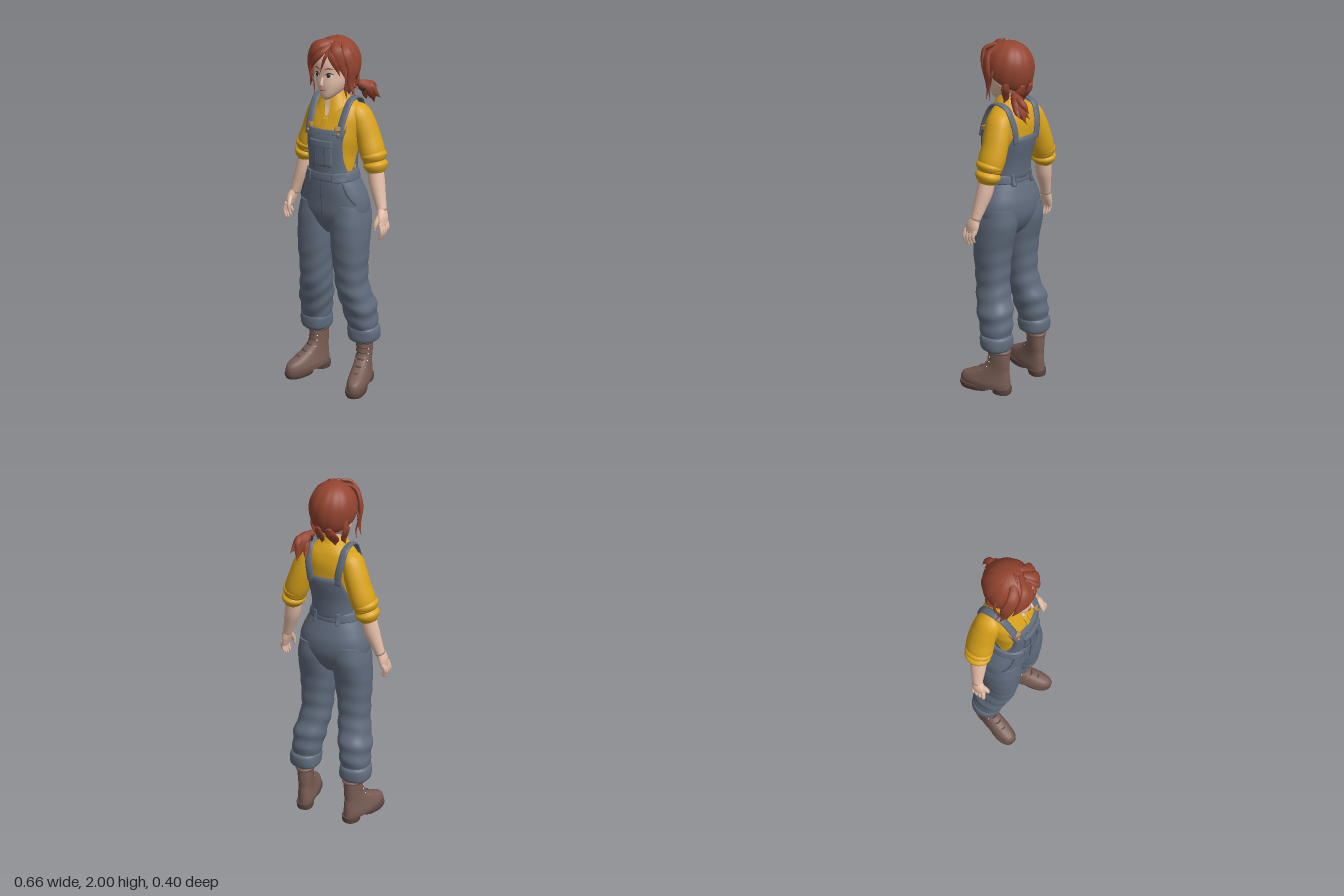
import * as THREE from 'three';

const mat = (name, color, side = THREE.FrontSide) =>
  Object.assign(new THREE.MeshStandardMaterial({ color, side }), { name });
const lerp = THREE.MathUtils.lerp, clamp = THREE.MathUtils.clamp;

// Grid surface from fn(u, v); u can wrap round, ends can be capped
function surface(nu, nv, fn, closed = true) {
  const pos = [], idx = [], cols = closed ? nu : nu + 1;
  for (let j = 0; j <= nv; j++) for (let i = 0; i < cols; i++) pos.push(...fn(i / nu, j / nv));
  for (let j = 0; j < nv; j++) for (let i = 0; i < nu; i++) {
    const a = j * cols + i, b = j * cols + (i + 1) % cols;
    idx.push(a, b, b + cols, a, b + cols, a + cols);
  }
  if (closed) for (const j of [0, nv]) {
    const c = [0, 0, 0], id = pos.length / 3;
    for (let i = 0; i < nu; i++) for (let k = 0; k < 3; k++) c[k] += pos[(j * nu + i) * 3 + k] / nu;
    pos.push(...c);
    for (let i = 0; i < nu; i++) {
      const a = j * nu + i, b = j * nu + (i + 1) % nu;
      idx.push(...(j ? [a, b, id] : [b, a, id]));
    }
  }
  const g = new THREE.BufferGeometry();
  g.setAttribute('position', new THREE.Float32BufferAttribute(pos, 3));
  g.setIndex(idx);
  g.computeVertexNormals();
  return g;
}

// Smooth interpolation through a list of rows
function at(rows, t) {
  const n = rows.length - 1, i = Math.min(Math.floor(t * n), n - 1), u = t * n - i;
  const [p, q, r, s] = [i - 1, i, i + 1, i + 2].map(k => rows[clamp(k, 0, n)]);
  return q.map((_, k) => q[k] + 0.5 * u * (r[k] - p[k] + u * (2 * p[k] - 5 * q[k] + 4 * r[k] - s[k]
    + u * (3 * (q[k] - r[k]) + s[k] - p[k]))));
}

// Stacked cross-sections, rows ascending: [y, cx, cz, rx, front, back]
const E = 2.3, pw = s => Math.sign(s) * Math.abs(s) ** (2 / E);
function loft(rows, fold = () => 1, nu = 32, nv = rows.length * 5) {
  return surface(nu, nv, (u, v) => {
    const [y, cx, cz, rx, f, b] = at(rows, v), a = u * Math.PI * 2, k = fold(y, a);
    const c = Math.cos(a);
    return [cx + rx * k * pw(Math.sin(a)), y, cz + (c > 0 ? f : b) * k * pw(c)];
  });
}
function depthAt(rows, x, y, sign) {
  const n = rows.length - 1;
  let i = 0;
  while (i < n - 1 && rows[i + 1][0] < y) i++;
  const t = clamp((i + (y - rows[i][0]) / (rows[i + 1][0] - rows[i][0])) / n, 0, 1);
  const [, cx, cz, rx, f, b] = at(rows, t);
  const w = Math.max(0, 1 - Math.min(1, Math.abs((x - cx) / rx)) ** E) ** (1 / E);
  return cz + sign * (sign > 0 ? f : b) * w;
}
// Raised panel lying on a loft; ext(v) gives left and right limits
function patch(rows, sign, y0, y1, ext, off, nu = 18, nv = 12) {
  return surface(nu, nv, (u, v) => {
    const U = clamp((u * nu - 1) / (nu - 2), 0, 1), V = clamp((v * nv - 1) / (nv - 2), 0, 1);
    const [l, r] = ext(V), x = sign > 0 ? lerp(l, r, U) : lerp(r, l, U), y = lerp(y0, y1, V);
    const edge = u < 1e-6 || u > 1 - 1e-6 || v < 1e-6 || v > 1 - 1e-6;
    return [x, y, depthAt(rows, x, y, sign) + sign * (edge ? -0.005 : off)];
  }, false);
}

// Tapered tube; radii [along side, across], side = direction or function of point
function sweep(pts, radii, side = [0, 0, 1], seg = 10, n = pts.length * 4) {
  const curve = new THREE.CatmullRomCurve3(pts.map(p => new THREE.Vector3(...p)));
  return surface(seg, n, (u, v) => {
    const p = curve.getPoint(v), T = curve.getTangent(v), [ra, rb] = at(radii, v);
    const S = typeof side === 'function' ? side(p) : new THREE.Vector3(...side);
    const B = T.clone().cross(S).normalize(), A = B.clone().cross(T), a = u * Math.PI * 2;
    return p.addScaledVector(A, ra * Math.cos(a)).addScaledVector(B, rb * Math.sin(a)).toArray();
  });
}

export function createModel() {
  const model = new THREE.Group();
  const hair = mat('hair red', 0x93442f, THREE.DoubleSide), skin = mat('skin', 0xe6bfa9);
  const shirt = mat('shirt yellow', 0xd9a21b, THREE.DoubleSide), denim = mat('denim', 0x616c7d);
  const seam = mat('dark denim', 0x4c5665), boot = mat('boot leather', 0x785d54);
  const sole = mat('boot sole', 0x5c463f), metal = mat('buckle metal', 0xb58a4c);
  const white = mat('eye white', 0xf0e8e2), dark = mat('eye dark', 0x3b2a28);

  const add = (name, geo, m, mirror = false) => {
    const mesh = new THREE.Mesh(geo, m);
    mesh.name = name;
    model.add(mesh);
    if (!mirror) return;
    const g = geo.clone().scale(-1, 1, 1), ix = g.index.array;
    for (let i = 0; i < ix.length; i += 3) [ix[i], ix[i + 1]] = [ix[i + 1], ix[i]];
    mesh.name = name + 'Left';
    add(name + 'Right', g, m);
  };
  const ball = (x, y, z, rx, ry, rz) => new THREE.SphereGeometry(1, 16, 12).scale(rx, ry, rz).translate(x, y, z);

  // Head and neck
  const head = [[1.672, 0, .105, .012, .02, .02], [1.69, 0, .09, .036, .05, .05], [1.72, 0, .06, .06, .087, .07],
    [1.76, 0, .04, .077, .111, .09], [1.81, 0, .03, .085, .118, .11], [1.87, 0, .03, .09, .118, .115],
    [1.93, 0, .03, .075, .095, .095], [1.97, 0, .03, .025, .03, .03]];
  add('head', loft(head), skin);
  add('neck', loft([[1.58, 0, .01, .055, .06, .05], [1.65, 0, .025, .045, .045, .045], [1.74, 0, .035, .043, .045, .045]]), skin);
  add('nose', sweep([[0, 1.80, .143], [0, 1.775, .157], [0, 1.757, .16], [0, 1.75, .148]],
    [[.004, .006], [.006, .008], [.007, .011], [.003, .006]], [0, .3, 1]), skin);
  add('ear', ball(.092, 1.79, .015, .012, .03, .02), skin, true);
  // Face details laid on the head
  const faceDisc = (cx, cy, w, h, off) => {
    const g = new THREE.CircleGeometry(1, 20).scale(w, h, 1).translate(cx, cy, 0), p = g.attributes.position;
    for (let i = 0; i < p.count; i++) p.setZ(i, depthAt(head, p.getX(i), p.getY(i), 1) + off);
    g.computeVertexNormals();
    return g;
  };
  const faceLine = (pts, w) => sweep(pts.map(([x, y]) => [x, y, depthAt(head, x, y, 1) + .003]),
    [[.002, w * .4], [.003, w], [.002, w * .3]], [0, 0, 1], 6);
  add('eyeWhite', faceDisc(.037, 1.808, .018, .0105, .004), white, true);
  add('iris', faceDisc(.036, 1.808, .009, .0105, .006), dark, true);
  add('upperLash', faceLine([[.017, 1.812], [.037, 1.822], [.058, 1.814]], .004), dark, true);
  add('eyebrow', faceLine([[.015, 1.84], [.038, 1.848], [.06, 1.84]], .0035), hair, true);
  add('mouth', faceLine([[-.018, 1.729], [0, 1.727], [.018, 1.729]], .003), hair);

  // Hair cap with a hairline high in front and low behind
  add('hairCap', surface(72, 24, (u, v) => {
    const a = u * Math.PI * 2, th = (1 - v * .995) * Math.PI * lerp(.33, .84, ((1 - Math.cos(a)) / 2) ** .8);
    const s = Math.sin(th), r = (th > Math.PI / 2 ? s ** .6 : s) * (.985 + .025 * Math.abs(Math.sin(a * 6 + th)));
    return [.004 + .126 * r * Math.sin(a), 1.86 + .137 * Math.cos(th), .02 + .136 * r * Math.cos(a)];
  }), hair);
  const radial = p => new THREE.Vector3(p.x, (p.y - 1.85) * .6, p.z - .02);
  const lock = (pts, w, mirror) => add('hairLock', sweep(pts,
    [[w * .25, w * .5], [w * .4, w], [w * .35, w * .8], [.001, .001]], radial, 8), hair, mirror);
  lock([[.03, 1.982, .07], [-.03, 1.96, .14], [-.085, 1.89, .14], [-.108, 1.79, .11]], .032);
  lock([[.03, 1.972, .1], [-.01, 1.93, .153], [-.05, 1.88, .156], [-.085, 1.82, .13]], .026);
  lock([[0, 1.982, .05], [-.08, 1.95, .1], [-.12, 1.87, .09], [-.12, 1.77, .075], [-.14, 1.715, .06]], .034);
  lock([[.04, 1.98, .08], [.075, 1.95, .13], [.1, 1.88, .125], [.112, 1.79, .1]], .03);
  lock([[.035, 1.972, .1], [.06, 1.925, .148], [.08, 1.875, .143], [.09, 1.81, .12]], .024);
  lock([[.06, 1.975, .05], [.11, 1.93, .08], [.13, 1.85, .07], [.122, 1.76, .065], [.145, 1.7, .06]], .032);
  lock([[.035, 1.972, .1], [.03, 1.92, .158], [.01, 1.87, .162], [-.008, 1.825, .157]], .009);
  lock([[.11, 1.9, .02], [.137, 1.83, .03], [.128, 1.77, .05], [.15, 1.73, .04]], .01, true);
  lock([[.1, 1.87, .09], [.112, 1.79, .085], [.1, 1.73, .08], [.105, 1.68, .075]], .011, true);
  lock([[.1, 1.82, -.04], [.1, 1.76, -.035], [.08, 1.71, -.02], [.085, 1.68, -.01]], .022, true);
  lock([[.03, 1.78, -.1], [.035, 1.74, -.08], [.04, 1.7, -.045], [.04, 1.67, -.04]], .03, true);
  lock([[.02, 1.985, .03], [.012, 1.997, .05], [-.01, 1.995, .075], [-.02, 1.97, .09]], .006);
  // Ponytail low on the left
  add('ponytailTie', new THREE.TorusGeometry(.02, .009, 8, 16).rotateX(-.4).translate(.09, 1.715, -.1), dark);
  const tail = (pts, w) => add('ponytail', sweep(pts, [[w * .5, w * .5], [w, w], [w * .9, w * .8], [.001, .001]], [1, 0, 0]), hair);
  tail([[.075, 1.735, -.07], [.1, 1.71, -.12], [.112, 1.67, -.15], [.108, 1.605, -.19]], .034);
  tail([[.09, 1.715, -.1], [.125, 1.71, -.13], [.14, 1.67, -.15], [.15, 1.64, -.185]], .018);
  tail([[.09, 1.715, -.1], [.08, 1.69, -.13], [.075, 1.65, -.15], [.065, 1.62, -.175]], .016);
  tail([[.09, 1.715, -.1], [.11, 1.72, -.14], [.11, 1.7, -.175], [.095, 1.66, -.195]], .02);

  // Shirt body, open neck, collar
  const torso = [[1.22, 0, .05, .128, .1, .108], [1.35, 0, .045, .126, .112, .115], [1.47, 0, .03, .145, .125, .125],
    [1.56, 0, .015, .152, .11, .112], [1.62, 0, .01, .14, .085, .095], [1.655, 0, .015, .1, .07, .08],
    [1.685, 0, .025, .058, .055, .06]];
  add('shirtBody', loft(torso, (y, a) => 1 + .01 * Math.sin(y * 55 + a * 3)), shirt);
  add('openNeck', patch(torso, 1, 1.575, 1.68, v => [-.003 - .036 * v, .003 + .036 * v], .006), skin);
  add('shirtPlacket', patch(torso, 1, 1.5, 1.575, () => [-.014, .014], .007), shirt);
  add('collar', surface(18, 5, (u, v) => {
    const a = Math.PI * (1 - u * .93), r = lerp(.087, .053, v), front = Math.max(0, u - .55) / .45;
    return [r * Math.sin(a) * (1 + front * .2), lerp(1.65 - .06 * front ** 1.5, 1.708 - .035 * front ** 2, v),
      .028 + r * Math.cos(a) * 1.03 + .012 * front];
  }, false), shirt, true);

  // Sleeves, rolled cuffs, arms
  const sleeve = [[.085, 1.615, -.005], [.125, 1.592, -.012], [.15, 1.53, -.022], [.175, 1.46, -.028], [.2, 1.39, -.026], [.218, 1.335, -.024]];
  add('sleeve', sweep(sleeve, [[.05, .035], [.068, .052], [.073, .062], [.074, .064], [.076, .066], [.068, .058]], [0, 0, 1], 20), shirt, true);
  for (const [x, y, k] of [[.214, 1.36, 1], [.227, 1.308, .94]])
    add('sleeveCuff', sweep([[x - .008, y + .034, -.025], [x, y, -.023], [x + .007, y - .033, -.021]],
      [[.056 * k, .05 * k], [.076 * k, .069 * k], [.07 * k, .062 * k], [.05 * k, .046 * k]], [0, 0, 1], 20), shirt, true);
  add('forearm', sweep([[.22, 1.32, -.023], [.242, 1.22, -.012], [.268, 1.14, 0], [.29, 1.075, .01]],
    [[.045, .044], [.045, .044], [.036, .034], [.029, .026]], [0, 0, 1], 16), skin, true);
  add('palm', sweep([[.286, 1.09, .008], [.3, 1.045, .02], [.309, 1.0, .028]], [[.028, .024], [.041, .023], [.04, .015]], [0, 0, 1], 14), skin, true);
  [.058, .037, .016, -.004].forEach((z, i) => {
    const d = i === 3 ? .018 : i === 1 ? -.005 : 0;
    add('finger', sweep([[.308, 1.02, z], [.32, .975 + d / 2, z + .007], [.307, .933 + d, z + .007]],
      [[.012, .012], [.011, .011], [.006, .006]], [0, 0, 1], 8), skin, true);
  });
  add('thumb', sweep([[.294, 1.065, .035], [.286, 1.015, .069], [.281, .975, .075]], [[.014, .014], [.013, .012], [.006, .006]], [1, 0, 0], 8), skin, true);

  // Overalls: bib, back panel, pockets
  add('bib', patch(torso, 1, 1.25, 1.515, v => { const w = .126 - .022 * Math.sin(v * 2.6) + .004 * v; return [-w, w]; }, .014, 30), denim);
  add('bibHem', patch(torso, 1, 1.497, 1.517, () => [-.113, .113], .019), denim);
  add('bibPocket', patch(torso, 1, 1.32, 1.455, () => [-.066, .066], .021), denim);
  add('pocketFlap', patch(torso, 1, 1.425, 1.462, () => [-.07, .07], .026), denim);
  for (const x of [-.03, .03]) add('pocketSeam', patch(torso, 1, 1.325, 1.425, () => [x - .002, x + .002], .0235, 4), seam);
  add('backPanel', patch(torso, -1, 1.25, 1.5, v => { const w = .127 - .035 * v * v; return [-w, w]; }, .012, 30), denim);
  // Shoulder straps and buckles
  const on = (x, y, s) => [x, y, depthAt(torso, x, y, s) + s * .012];
  add('strap', sweep([on(.095, 1.48, 1), on(.1, 1.55, 1), on(.104, 1.61, 1), [.107, 1.662, .05], [.107, 1.676, .005],
    [.104, 1.655, -.055], on(.1, 1.61, -1), on(.09, 1.55, -1), on(.078, 1.47, -1)], [[.021, .008], [.021, .008]], [1, 0, 0], 12, 40), denim, true);
  add('strapBuckle', patch(torso, 1, 1.517, 1.54, () => [.074, .12], .023, 8, 6), metal, true);
  add('bibButton', ball(.096, 1.5, depthAt(torso, .096, 1.5, 1) + .019, .009, .009, .007), metal, true);

  // Waistband, seat and trouser legs
  const hips = [[.92, 0, .035, .07, .06, .06], [.97, 0, .033, .16, .1, .1], [1.04, 0, .032, .198, .125, .13],
    [1.12, 0, .035, .197, .126, .137], [1.19, 0, .045, .172, .12, .13], [1.25, 0, .05, .142, .116, .116], [1.285, 0, .05, .134, .114, .112]];
  add('trouserSeat', loft(hips), denim);
  add('waistband', loft([[1.235, 0, .05, .146, .118, .12], [1.243, 0, .05, .15, .122, .124], [1.277, 0, .05, .142, .12, .12], [1.284, 0, .05, .135, .114, .114]]), denim);
  add('waistTab', patch(hips, 1, 1.236, 1.282, () => [.07, .132], .014), denim, true);
  add('beltLoop', patch(hips, -1, 1.225, 1.29, () => [.06, .08], .017, 6), denim, true);
  add('hipPocketSeam', sweep([[.115, 1.228], [.14, 1.17], [.178, 1.11]].map(([x, y]) => [x, y, depthAt(hips, x, y, 1)]),
    [[.005, .005], [.005, .005]], [0, 0, 1], 6), seam, true);
  add('flySeam', patch(hips, 1, 1.05, 1.235, () => [-.003, .003], .003, 4), seam);
  const leg = [[.33, .16, -.02, .076, .078, .08], [.42, .152, -.003, .086, .09, .1], [.5, .143, .012, .092, .095, .108],
    [.6, .123, .034, .087, .1, .094], [.7, .116, .045, .088, .1, .095], [.85, .111, .045, .1, .112, .105],
    [1.0, .106, .032, .102, .126, .126], [1.1, .1, .03, .09, .115, .12]];
  add('trouserLeg', loft(leg, (y, a) => 1 + .04 * clamp((.95 - y) * 2.2, .12, 1) * Math.sin(y * 62 + Math.sin(a + 1) * 2.4 + a), 36, 70), denim, true);
  add('trouserCuff', loft([[.272, .162, -.02, .068, .07, .072], [.288, .162, -.02, .086, .086, .088], [.325, .162, -.02, .09, .09, .091],
    [.355, .161, -.018, .086, .086, .088], [.37, .16, -.016, .07, .07, .07]], (y, a) => 1 + .02 * Math.sin(a * 3 + y * 30)), denim, true);

  // Boots, toes turned out
  const foot = g => g.rotateY(.27).translate(.157, 0, -.035);
  add('boot', foot(loft([[.025, 0, .09, .052, .15, .156], [.055, 0, .09, .057, .152, .156], [.085, 0, .08, .053, .146, .146],
    [.115, 0, .058, .048, .105, .122], [.145, 0, .03, .045, .078, .09], [.185, 0, .006, .044, .062, .068],
    [.25, 0, 0, .046, .06, .062], [.33, 0, 0, .047, .06, .062]])), boot, true);
  add('soleFront', foot(loft([[0, 0, .15, .052, .09, .09], [.018, 0, .15, .058, .096, .09], [.034, 0, .15, .057, .094, .09]])), sole, true);
  add('soleHeel', foot(loft([[0, 0, -.015, .046, .05, .055], [.02, 0, -.015, .049, .055, .058], [.034, 0, -.015, .05, .1, .058]])), sole, true);
  add('bootCollar', foot(new THREE.TorusGeometry(.047, .011, 8, 24).rotateX(Math.PI / 2).scale(1, 1, 1.25).translate(0, .262, 0)), boot, true);
  for (const [y, z] of [[.11, .158], [.135, .117], [.165, .081], [.2, .066], [.23, .062]]) {
    add('lace', foot(sweep([[-.034, y - .006, z - .022], [0, y + .006, z], [.034, y - .006, z - .022]], [[.005, .005], [.006, .006]], [0, 1, 0], 6)), sole, true);
    for (const s of [-1, 1]) add('eyelet', foot(ball(s * .034, y - .006, z - .02, .005, .005, .005)), white, true);
  }
  return model;
}
